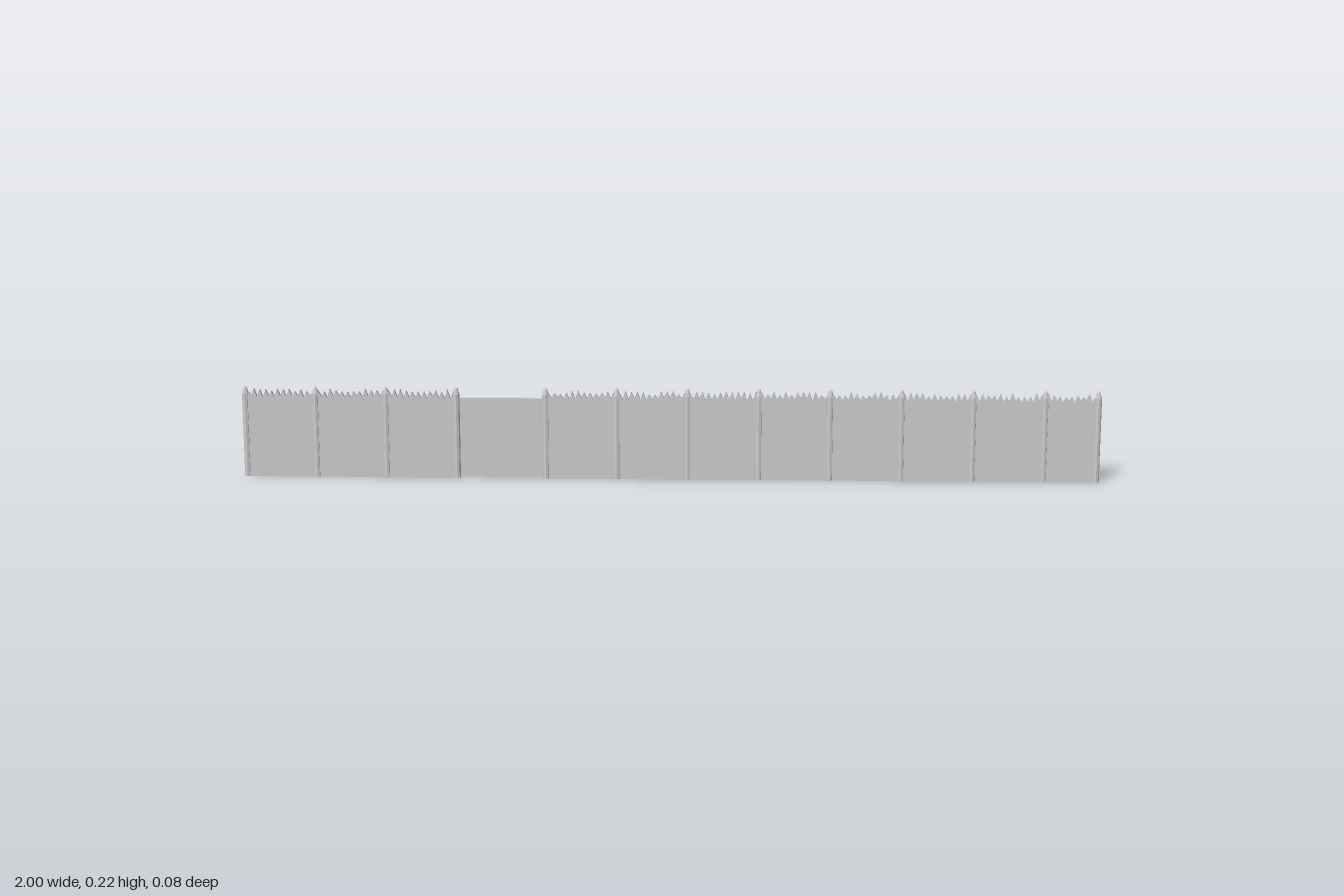
import * as THREE from 'three';

const WALL_Z = 0.032;
const grey = new THREE.MeshStandardMaterial({ color: 0xcccccc, flatShading: true });
grey.name = 'plain grey';

function add(parent, name, geometry, x, y, z) {
  const mesh = new THREE.Mesh(geometry, grey);
  mesh.name = name;
  mesh.position.set(x, y, z);
  parent.add(mesh);
  return mesh;
}

// small seeded generator for the uneven stake tips
let seed = 7;
const random = () => (seed = (seed * 16807) % 2147483647) / 2147483647;

// a plate whose top edge is a row of pointed stakes
function panelGeometry(width) {
  const depth = 0.009;
  const count = Math.round(width / 0.0138);
  const step = width / count;
  const shape = new THREE.Shape();
  shape.moveTo(0, 0);
  shape.lineTo(width, 0);
  shape.lineTo(width, 0.19);
  for (let i = count - 1; i >= 0; i--) {
    shape.lineTo((i + 0.5) * step, 0.2 + random() * 0.01);
    shape.lineTo(i * step, i ? 0.188 + random() * 0.006 : 0.19);
  }
  const geometry = new THREE.ExtrudeGeometry(shape, { depth, bevelEnabled: false });
  return geometry.translate(0, 0, -depth / 2);
}

// round post sharpened to a point
const postGeometry = new THREE.LatheGeometry(
  [[0, 0], [0.008, 0], [0.008, 0.198], [0.004, 0.212], [0, 0.217]].map(([r, y]) => new THREE.Vector2(r, y)), 8);

// one run of fence between the given post positions
function fenceRun(name, posts) {
  const run = new THREE.Group();
  run.name = name;
  posts.forEach((x, i) => {
    add(run, 'post', postGeometry, x, 0, WALL_Z);
    if (i === posts.length - 1) return;
    const width = posts[i + 1] - x;
    add(run, 'stakePanel', panelGeometry(width), x, 0, WALL_Z);

    // slanted prop behind the middle of each panel
    const top = [0.142, 0.012], foot = [0.008, -0.033];
    const dy = top[0] - foot[0], dz = top[1] - foot[1];
    const brace = add(run, 'brace', new THREE.BoxGeometry(0.01, Math.hypot(dy, dz), 0.009),
      x + width / 2, (top[0] + foot[0]) / 2, (top[1] + foot[1]) / 2);
    brace.rotation.x = Math.atan2(dz, dy);
  });

  // horizontal rails behind the panels
  const start = posts[0], end = posts[posts.length - 1];
  for (const y of [0.067, 0.145]) {
    add(run, 'rail', new THREE.BoxGeometry(end - start + 0.014, 0.01, 0.012), (start + end) / 2, y, 0.017);
  }
  return run;
}

export function createModel() {
  const model = new THREE.Group();
  model.name = 'palisade';
  const rightPosts = [-0.992, -0.827, -0.662, -0.497];
  const leftPosts = Array.from({ length: 8 }, (_, i) => -0.288 + i * 0.1655);
  leftPosts.push(0.992);
  model.add(fenceRun('rightRun', rightPosts), fenceRun('leftRun', leftPosts));

  // plain gate filling the gap
  add(model, 'gate', new THREE.BoxGeometry(0.209, 0.184, 0.007), -0.3925, 0.098, 0.029);
  return model;
}
